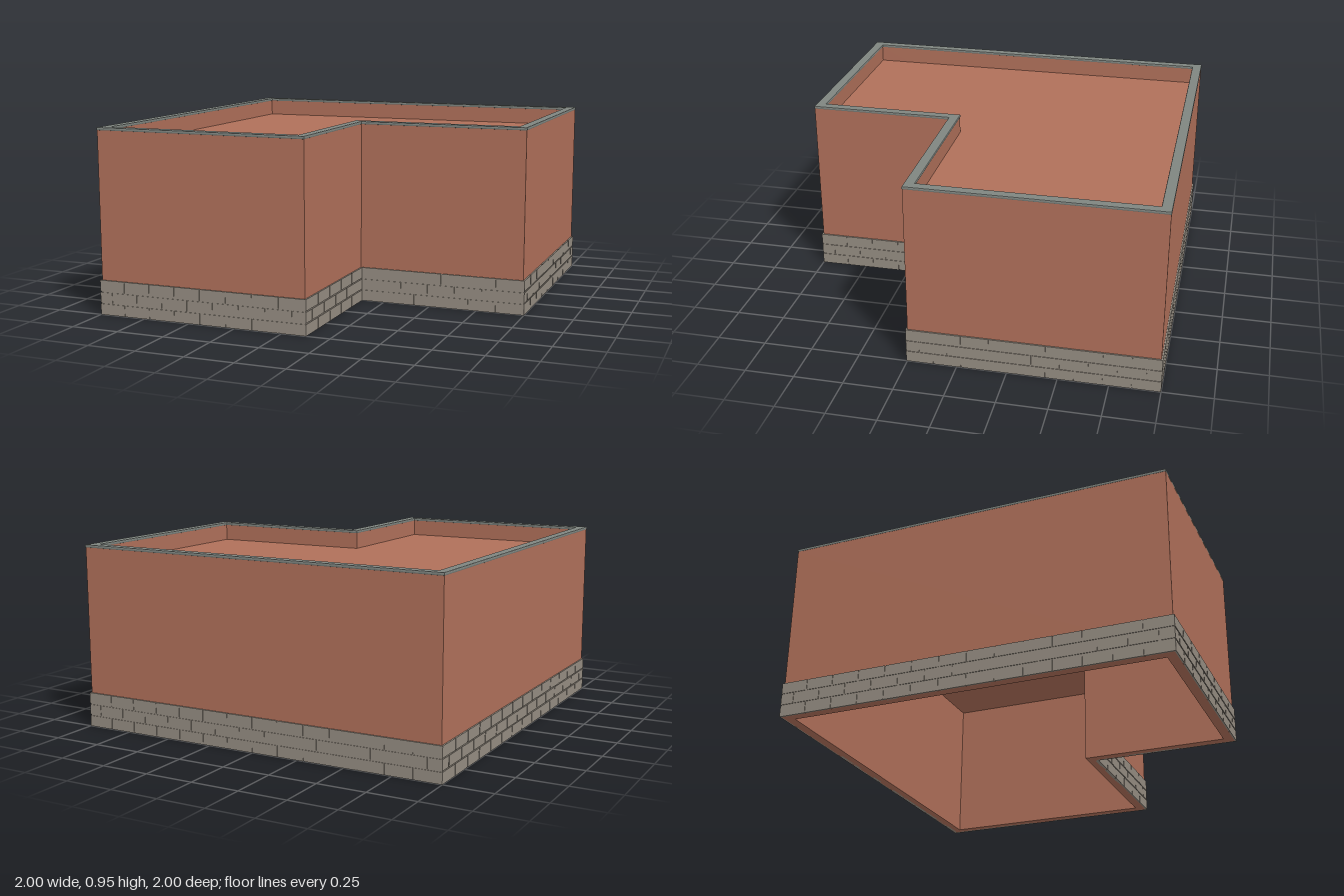
import * as THREE from 'three';

const mat = (color) => new THREE.MeshStandardMaterial({ color, flatShading: true });

// L-shaped plan, grown outwards by d; points are (x, -z), counter-clockwise
const plan = (d) => [
  [-0.99 - d, -0.99 - d], [0.118 + d, -0.99 - d], [0.118 + d, -0.245 - d],
  [0.99 + d, -0.245 - d], [0.99 + d, 0.99 + d], [-0.99 - d, 0.99 + d],
].map(([x, y]) => new THREE.Vector2(x, y));

// Upright prism of the plan, with an optional inner hole
function prism(name, outer, inner, y0, y1, material, bevel = 0) {
  const shape = new THREE.Shape(plan(outer));
  if (inner !== null) shape.holes.push(new THREE.Path(plan(inner).reverse()));
  const geo = new THREE.ExtrudeGeometry(shape, {
    depth: y1 - y0 - 2 * bevel, bevelEnabled: bevel > 0, bevelSize: bevel,
    bevelThickness: bevel, bevelOffset: -bevel, bevelSegments: 2,
  });
  geo.rotateX(-Math.PI / 2);
  geo.translate(0, y0 + bevel, 0);
  const mesh = new THREE.Mesh(geo, material);
  mesh.name = name;
  return mesh;
}

// Staggered courses of stone around every side of the plan
function stoneBase(material) {
  const group = new THREE.Group();
  group.name = 'stoneBase';
  const courses = 3, height = 0.178 / courses, depth = 0.018, gap = 0.006;
  const corners = plan(0.01);
  corners.forEach((a, side) => {
    const b = corners[(side + 1) % corners.length];
    const length = a.distanceTo(b);
    const dir = b.clone().sub(a).divideScalar(length);
    const count = Math.round(length / 0.14);
    const step = length / count;
    for (let row = 0; row < courses; row++) {
      const shift = row % 2 ? step / 2 : 0;
      for (let i = 0; i <= count; i++) {
        const start = Math.max(0, i * step - shift);
        const end = Math.min(length, (i + 1) * step - shift);
        if (end - start < 0.01) continue;
        // joints are left open, but the corner ends stay flush
        const s = start > 0 ? start + gap / 2 : start;
        const e = end < length - 0.001 ? end - gap / 2 : end;
        const y0 = row * height + (row ? gap / 2 : 0);
        const y1 = (row + 1) * height - (row < courses - 1 ? gap / 2 : 0);
        const brick = new THREE.Mesh(new THREE.BoxGeometry(e - s, y1 - y0, depth), material);
        const p = a.clone().addScaledVector(dir, (s + e) / 2);
        // move inwards by half the depth (inward is to the left of dir)
        brick.position.set(p.x - dir.y * depth / 2, (y0 + y1) / 2, -(p.y + dir.x * depth / 2));
        brick.rotation.y = Math.atan2(dir.y, dir.x);
        brick.name = 'stone';
        group.add(brick);
      }
    }
  });
  return group;
}

export function createModel() {
  const model = new THREE.Group();
  model.name = 'building';
  const wall = mat(0xb0705a);
  const stone = mat(0x958d82);
  const trim = mat(0x7f8580);

  // Hollow walls rising past the roof as a parapet
  model.add(prism('walls', 0.002, -0.045, 0, 0.937, wall));
  // Roof slab set below the parapet
  model.add(prism('roof', -0.044, null, 0.79, 0.85, wall));
  // Coping along the top of the walls
  model.add(prism('coping', 0.004, -0.047, 0.934, 0.95, trim, 0.005));
  // Mortar behind the stones
  model.add(prism('mortar', 0.007, -0.005, 0.001, 0.177, stone));
  model.add(stoneBase(stone));
  return model;
}
